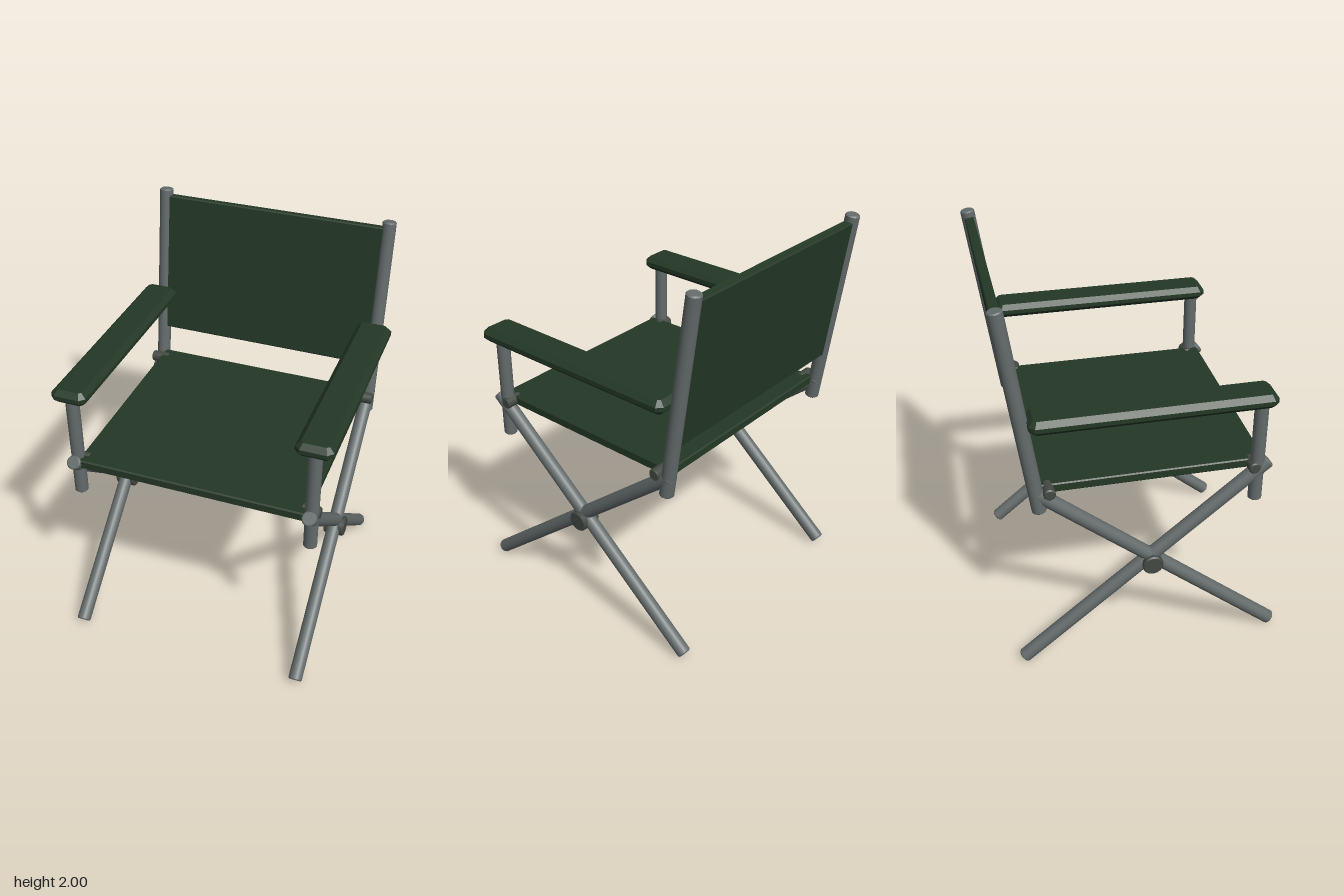
import * as THREE from 'three';

const metal = new THREE.MeshStandardMaterial({ color: 0x646b6b });
metal.name = 'grey metal';
const fitting = new THREE.MeshStandardMaterial({ color: 0x444943 });
fitting.name = 'dark fitting';
const canvas = new THREE.MeshStandardMaterial({ color: 0x243826 });
canvas.name = 'dark green canvas';

const SIDE = 0.607; // x of the side frames
const TUBE = 0.036;

// Round bar with slightly bevelled ends between two points
function bar(name, a, b, radius, material, bevel = 0.006) {
  const from = new THREE.Vector3(...a), to = new THREE.Vector3(...b);
  const h = from.distanceTo(to) / 2;
  const v = (r, y) => new THREE.Vector2(r, y);
  // doubled points keep the rims crisp
  const profile = [v(0, -h), v(radius - bevel, -h), v(radius - bevel, -h), v(radius, -h + bevel), v(radius, -h + bevel),
    v(radius, h - bevel), v(radius, h - bevel), v(radius - bevel, h), v(radius - bevel, h), v(0, h)];
  const mesh = new THREE.Mesh(new THREE.LatheGeometry(profile, 16), material);
  mesh.name = name;
  mesh.position.copy(from).add(to).multiplyScalar(0.5);
  mesh.quaternion.setFromUnitVectors(new THREE.Vector3(0, 1, 0), to.sub(from).normalize());
  return mesh;
}

// Flat slab with bevelled edges and cut corners, lying in the xz plane
function slab(name, width, height, length, bevel, corner, material) {
  const x = width / 2 - bevel, z = length / 2 - bevel, c = corner;
  const outline = new THREE.Shape([
    [x - c, -z], [x, -z + c], [x, z - c], [x - c, z], [-x + c, z], [-x, z - c], [-x, -z + c], [-x + c, -z],
  ].map(([px, py]) => new THREE.Vector2(px, py)));
  const geometry = new THREE.ExtrudeGeometry(outline, {
    depth: height - 2 * bevel, bevelEnabled: true, bevelThickness: bevel, bevelSize: bevel, bevelSegments: 1,
  });
  geometry.translate(0, 0, bevel - height / 2).rotateX(-Math.PI / 2);
  const mesh = new THREE.Mesh(geometry, material);
  mesh.name = name;
  return mesh;
}

function sideFrame(label, s) {
  const g = new THREE.Group();
  g.name = label + 'Frame';
  const x = s * SIDE;
  // crossed legs
  g.add(bar('frontFootLeg', [x, 0.026, 0.683], [x, 1.055, -0.553], TUBE, metal));
  g.add(bar('backFootLeg', [x, 0.026, -0.643], [x, 1.065, 0.6], TUBE, metal));
  // uprights
  g.add(bar('backPost', [x, 0.94, -0.525], [x, 1.994, -0.67], TUBE, metal));
  g.add(bar('armPost', [x, 0.85, 0.543], [x, 1.42, 0.543], 0.034, metal));
  // pivot and seat pegs
  g.add(bar('pivot', [s * 0.555, 0.547, 0.022], [s * 0.662, 0.547, 0.022], 0.053, fitting));
  for (const [name, z] of [['frontPeg', 0.522], ['backPeg', -0.478]]) {
    g.add(bar(name, [s * 0.55, 1.046, z], [s * 0.645, 1.046, z], 0.03, fitting));
  }
  // armrest
  const arm = slab('armrest', 0.182, 0.072, 1.163, 0.025, 0.012, canvas);
  arm.position.set(x, 1.437, 0.018);
  g.add(arm);
  return g;
}

export function createModel() {
  const model = new THREE.Group();
  model.name = 'foldingChair';
  model.add(sideFrame('left', 1), sideFrame('right', -1));

  const seat = slab('seat', 1.18, 0.048, 1.115, 0.006, 0.004, canvas);
  seat.position.set(0, 1.047, 0.027);
  model.add(seat);

  // backrest follows the lean of the back posts
  const lean = Math.atan2(0.145, 1.054);
  const back = slab('backrest', 1.18, 0.048, 0.755, 0.006, 0.004, canvas);
  back.position.set(0, 1.588, -0.614);
  back.rotation.x = Math.PI / 2 - lean;
  model.add(back);
  return model;
}
